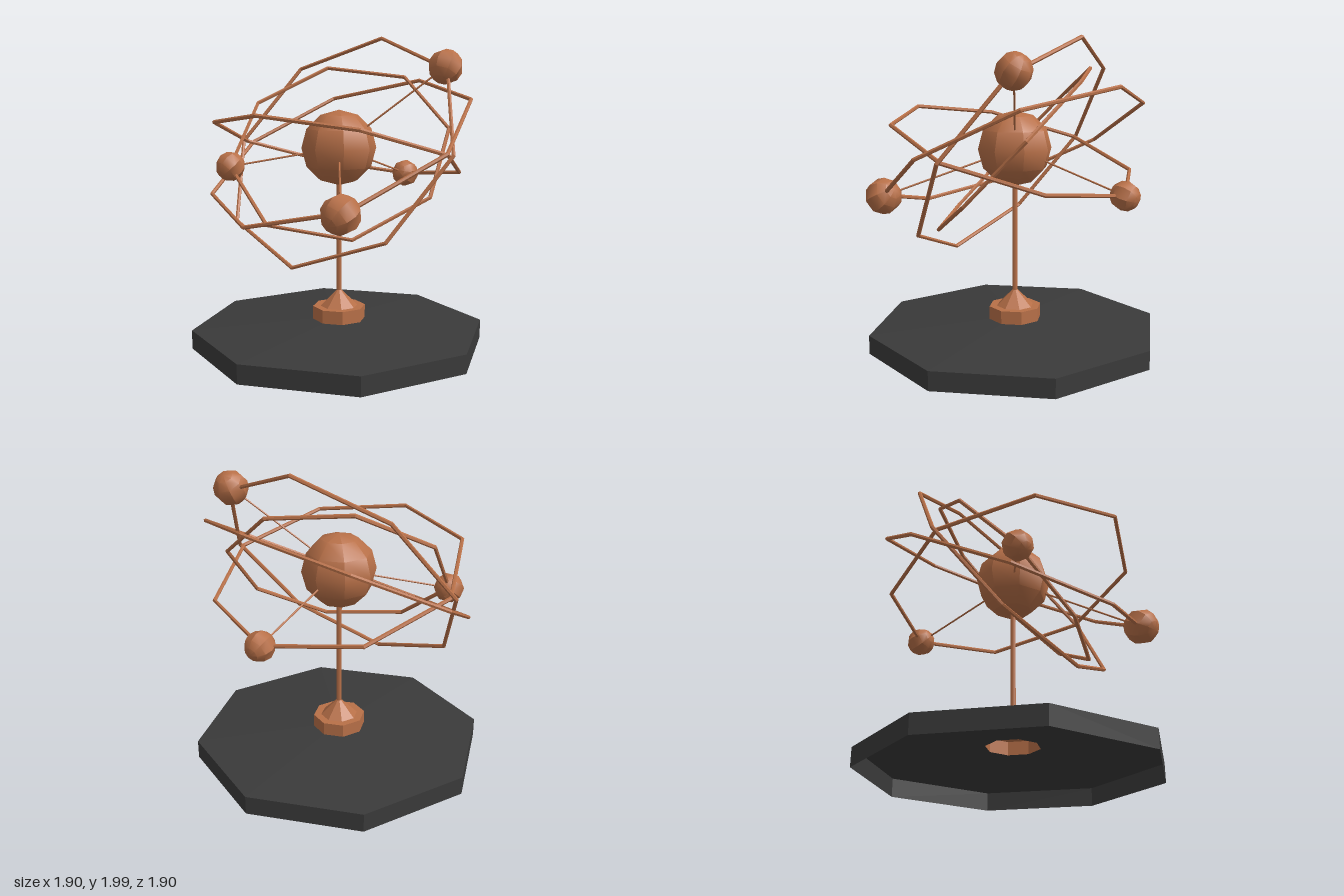
import * as THREE from 'three';
import { toCreasedNormals } from 'three/addons/utils/BufferGeometryUtils.js';

const CENTRE_Y = 1.285;
const bronze = new THREE.MeshStandardMaterial({ color: 0xb87048 });
const bronzeFlat = new THREE.MeshStandardMaterial({ color: 0xb87048, flatShading: true, side: THREE.DoubleSide });
const dark = new THREE.MeshStandardMaterial({ color: 0x3a3a3a, flatShading: true, side: THREE.DoubleSide });

function add(parent, name, geometry, material) {
  const mesh = new THREE.Mesh(geometry, material);
  mesh.name = name;
  parent.add(mesh);
  return mesh;
}

// Eight-sided open shell turned from [radius, height] points
function octagonShell(points) {
  return new THREE.LatheGeometry(points.map(([r, y]) => new THREE.Vector2(r, y)), 8);
}

// Ball with creases between its steep meridian facets
function ball(radius) {
  return toCreasedNormals(new THREE.SphereGeometry(radius, 8, 6), 0.6);
}

// Octagonal ring lying in the plane of xDir and yDir, with a planet on a thin spoke
function orbit(name, { radius, xDir, yDir, angle, planetRadius }) {
  const group = new THREE.Group();
  group.name = name;
  const x = new THREE.Vector3(...xDir).normalize();
  const z = x.clone().cross(new THREE.Vector3(...yDir)).normalize();
  const y = z.clone().cross(x);
  group.quaternion.setFromRotationMatrix(new THREE.Matrix4().makeBasis(x, y, z));
  group.position.y = CENTRE_Y;

  add(group, 'ring', new THREE.TorusGeometry(radius, 0.013, 6, 8), bronzeFlat);

  const a = THREE.MathUtils.degToRad(angle);
  const planet = add(group, 'planet', ball(planetRadius), bronze);
  planet.position.set(Math.cos(a) * radius, Math.sin(a) * radius, 0);

  const spoke = add(group, 'spoke', new THREE.CylinderGeometry(0.006, 0.006, radius, 6), bronzeFlat);
  spoke.position.copy(planet.position).multiplyScalar(0.5);
  spoke.rotation.z = a - Math.PI / 2;
  return group;
}

export function createModel() {
  const model = new THREE.Group();
  model.name = 'orrery';

  // Hollow base, open below, with a socket over its central hole
  add(model, 'base', octagonShell([[0.95, 0], [0.95, 0.12], [0.17, 0.17]]), dark);
  add(model, 'socket', octagonShell([[0.17, 0.17], [0.17, 0.255], [0.12, 0.255], [0.015, 0.36]]), bronzeFlat);

  // Post and central sun
  const post = add(model, 'post', new THREE.CylinderGeometry(0.017, 0.017, 0.75, 8), bronzeFlat);
  post.position.y = 0.725;
  add(model, 'sun', ball(0.24), bronze).position.y = CENTRE_Y;

  // Four tilted orbits
  const orbits = {
    innerOrbit: { radius: 0.705, xDir: [0.66, -0.27, -0.05], yDir: [0.14, 0.445, -0.54], angle: 225, planetRadius: 0.095 },
    lowOrbit: { radius: 0.8, xDir: [1, 0, 0], yDir: [0, -0.295, -0.955], angle: 90, planetRadius: 0.093 },
    steepOrbit: { radius: 0.835, xDir: [1, 0, 0], yDir: [0, 0.832, -0.555], angle: 47, planetRadius: 0.11 },
    outerOrbit: { radius: 0.88, xDir: [0.87, 0.02, 0.13], yDir: [0.11, 0.42, -0.78], angle: -47, planetRadius: 0.117 },
  };
  for (const [name, options] of Object.entries(orbits)) model.add(orbit(name, options));

  return model;
}
